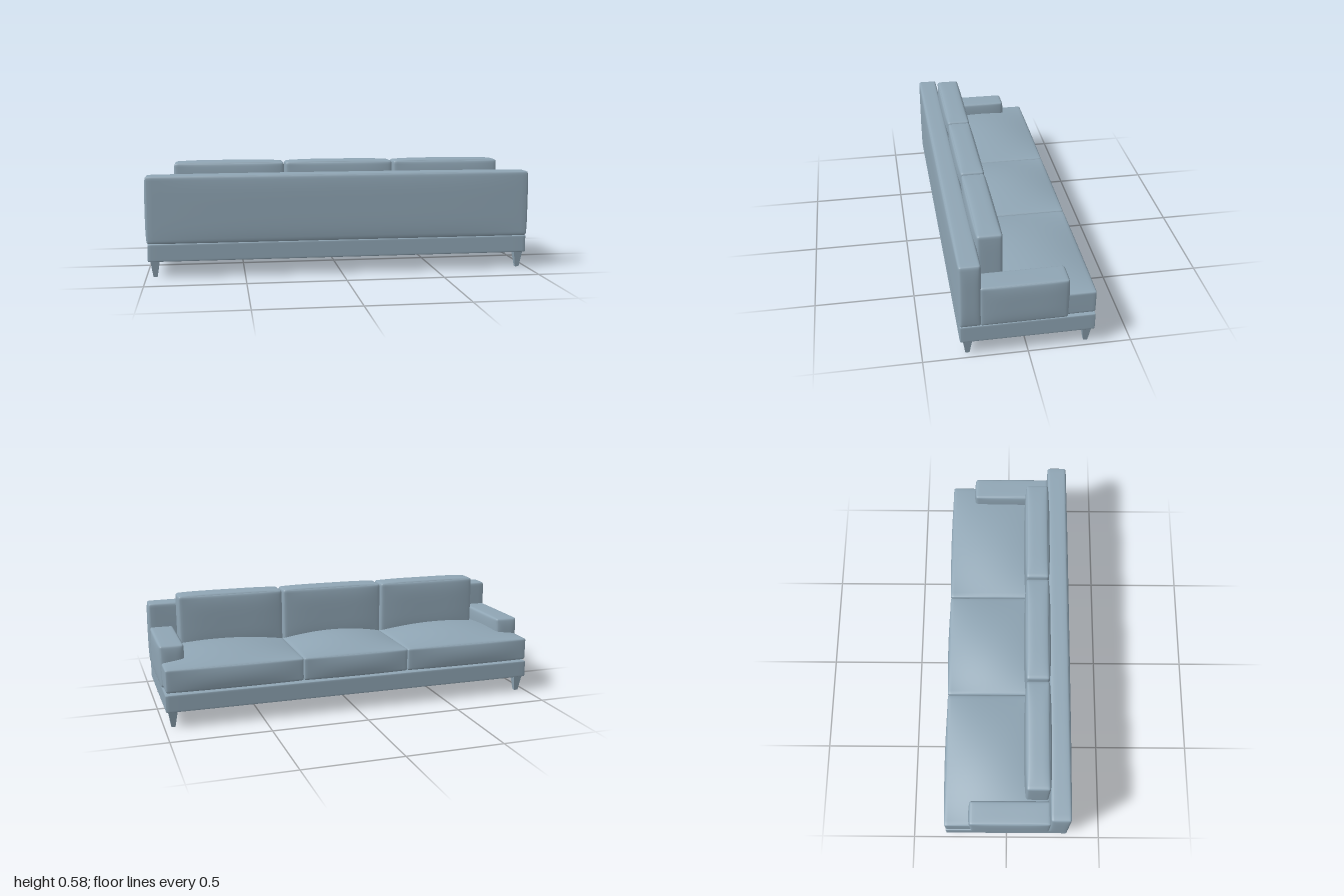
import * as THREE from 'three';
import { mergeVertices } from 'three/addons/utils/BufferGeometryUtils.js';

const fabric = new THREE.MeshStandardMaterial({ color: 0x8fa5b4 });
fabric.name = 'blueGreyFabric';

// Soft box between two corners: rounded edges of radius r, each face swelling by bulge[axis].
// power sets the swell profile: 2 is domed, 4 is flatter with a quick fall at the rim.
function pillow(name, min, max, r, bulge, power = 4, n = 24) {
  const geo = new THREE.BoxGeometry(2, 2, 2, n, n, n);
  geo.deleteAttribute('uv');
  geo.deleteAttribute('normal');
  const merged = mergeVertices(geo, 1e-5);
  const pos = merged.attributes.position;
  const half = min.map((a, i) => (max[i] - a) / 2);
  const mid = min.map((a, i) => (max[i] + a) / 2);
  const inner = new THREE.Vector3(), off = new THREE.Vector3();
  for (let i = 0; i < pos.count; i++) {
    // crowd the grid lines towards the edges
    const t = [pos.getX(i), pos.getY(i), pos.getZ(i)].map((v) => Math.sin((v * Math.PI) / 2));
    const p = t.map((v, k) => v * half[k]);
    inner.set(...p.map((v, k) => THREE.MathUtils.clamp(v, r - half[k], half[k] - r)));
    off.set(...p).sub(inner).setLength(r);
    const q = inner.add(off).toArray();
    const dome = t.map((v) => 1 - Math.abs(v) ** power);
    const out = q.map((v, k) =>
      mid[k] + v + bulge[k] * t[k] * dome[(k + 1) % 3] * dome[(k + 2) % 3]);
    pos.setXYZ(i, ...out);
  }
  merged.computeVertexNormals();
  const mesh = new THREE.Mesh(merged, fabric);
  mesh.name = name;
  return mesh;
}

export function createModel() {
  const sofa = new THREE.Group();
  sofa.name = 'sofa';

  // Plinth and backrest; the seat faces -z
  sofa.add(pillow('base', [-0.99, 0.083, -0.322], [0.99, 0.174, 0.322], 0.006, [0, 0, 0], 4, 16));
  sofa.add(pillow('backrest', [-0.993, 0.174, 0.22], [0.993, 0.517, 0.323], 0.012, [0.007, 0.005, 0.008]));

  // Three seat cushions; the outer ones run out in front of the arms
  const seats = [[-0.986, -0.286], [-0.284, 0.284], [0.286, 0.986]];
  seats.forEach(([a, b], i) => {
    const seat = pillow('seatCushion' + (i + 1), [a, 0.183, -0.321], [b, 0.302, 0.23],
      0.01, [0.001, 0.042, 0.009], 2);
    // keep the underside nearly flat
    const p = seat.geometry.attributes.position;
    for (let k = 0; k < p.count; k++) p.setY(k, Math.max(p.getY(k), 0.176));
    seat.geometry.computeVertexNormals();
    sofa.add(seat);
  });

  // Three back cushions
  for (let i = -1; i <= 1; i++) {
    const x = i * 0.57;
    sofa.add(pillow('backCushion' + (i + 2), [x - 0.28, 0.28, 0.099], [x + 0.28, 0.572, 0.219],
      0.012, [0.003, 0.008, 0.01]));
  }

  // Tapered square leg with flat faces
  const legGeo = new THREE.CylinderGeometry(0.023 * Math.SQRT2, 0.01 * Math.SQRT2, 0.085, 4)
    .rotateY(Math.PI / 4).toNonIndexed();
  legGeo.computeVertexNormals();

  for (const s of [-1, 1]) {
    const side = s > 0 ? 'left' : 'right';
    // Arm
    const xs = [s * 0.872, s * 0.993].sort((a, b) => a - b);
    sofa.add(pillow(side + 'Arm', [xs[0], 0.174, -0.187], [xs[1], 0.389, 0.225],
      0.01, [0.007, 0.002, 0.009]));
    // Legs
    for (const z of [-1, 1]) {
      const leg = new THREE.Mesh(legGeo, fabric);
      leg.name = side + (z < 0 ? 'FrontLeg' : 'BackLeg');
      leg.position.set(s * 0.955, 0.0425, z * 0.285);
      sofa.add(leg);
    }
  }
  return sofa;
}
